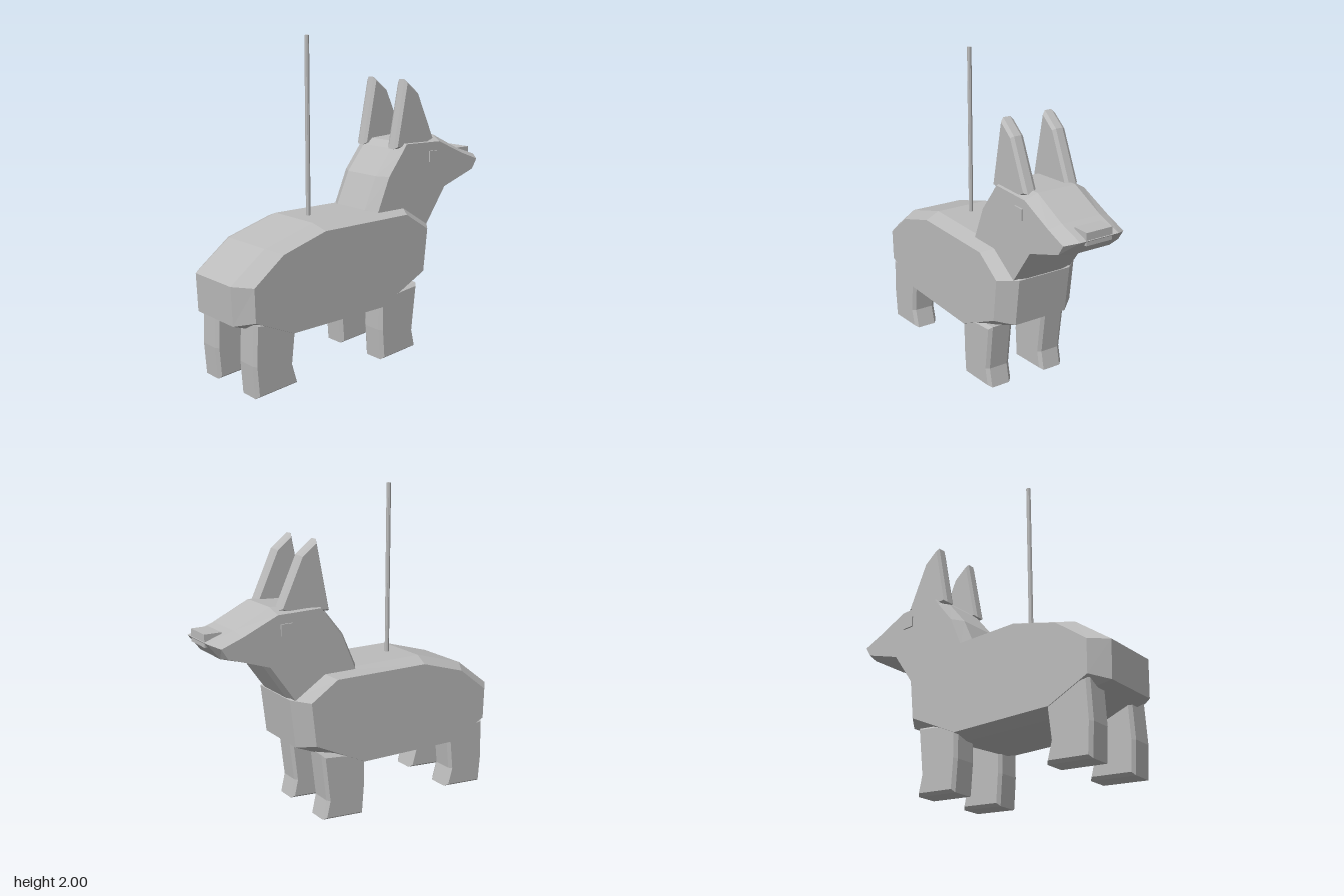
import * as THREE from 'three';

const V = (p) => new THREE.Vector2(p[0], p[1]);

// Shrinks a clockwise outline by d, keeping its edges parallel.
function inset(pts, d) {
  const n = pts.length;
  return pts.map((p, i) => {
    const a = V(p).sub(V(pts[(i + n - 1) % n])).normalize();
    const b = V(pts[(i + 1) % n]).sub(V(p)).normalize();
    const k = d / (1 + a.dot(b));
    return [p[0] + (a.y + b.y) * k, p[1] - (a.x + b.x) * k];
  });
}

// Slab with bevelled rims: outer outline in the middle, inner outline on both side faces.
function slab(outer, inner, half, bevel) {
  const n = outer.length;
  const rings = [[inner, half], [outer, half - bevel], [outer, bevel - half], [inner, -half]];
  const pos = [], index = [];
  for (const [pts, z] of rings) for (const p of pts) pos.push(p[0], p[1], z);
  for (let r = 0; r < 3; r++) {
    for (let i = 0; i < n; i++) {
      const a = r * n + i, b = r * n + (i + 1) % n;
      index.push(a, b, a + n, b, b + n, a + n);
    }
  }
  for (const [a, b, c] of THREE.ShapeUtils.triangulateShape(inner.map(V), [])) {
    const [p, q, s] = [a, b, c].map((i) => V(inner[i]));
    const ccw = q.sub(p).cross(s.sub(p)) > 0;
    const [i, j, k] = ccw ? [a, b, c] : [a, c, b];
    index.push(i, j, k, 3 * n + i, 3 * n + k, 3 * n + j);
  }
  let g = new THREE.BufferGeometry();
  g.setAttribute('position', new THREE.Float32BufferAttribute(pos, 3));
  g.setIndex(index);
  g = g.toNonIndexed();
  g.computeVertexNormals();
  return g;
}

export function createModel() {
  const model = new THREE.Group();
  const grey = new THREE.MeshStandardMaterial({ color: 0xbbbbbb, flatShading: true });
  grey.name = 'plain grey';

  const add = (name, geometry, x = 0, y = 0, z = 0) => {
    const mesh = new THREE.Mesh(geometry, grey);
    mesh.name = name;
    mesh.position.set(x, y, z);
    model.add(mesh);
  };

  // Body (outlines run clockwise from the rump)
  add('body', slab(
    [[-1, 0.66], [-0.77, 0.835], [-0.43, 0.935], [0.285, 0.935], [0.5, 0.8],
      [0.465, 0.5], [0.04, 0.32], [-0.625, 0.305], [-0.99, 0.43]],
    [[-0.91, 0.655], [-0.71, 0.81], [-0.41, 0.9], [0.23, 0.905], [0.41, 0.79],
      [0.38, 0.52], [0.035, 0.352], [-0.645, 0.34], [-0.905, 0.455]],
    0.28, 0.1));

  // Neck and head
  add('head', slab(
    [[-0.02, 0.85], [0.015, 0.94], [0.105, 1.14], [0.235, 1.3], [0.28, 1.34], [0.595, 1.358],
      [0.82, 1.25], [0.985, 1.195], [0.91, 1.1], [0.65, 1.025], [0.495, 0.8], [0.4, 0.7]],
    [[0.03, 0.85], [0.06, 0.93], [0.15, 1.14], [0.26, 1.28], [0.295, 1.328], [0.58, 1.322],
      [0.8, 1.225], [0.935, 1.175], [0.895, 1.112], [0.635, 1.025], [0.48, 0.805], [0.38, 0.72]],
    0.205, 0.075));

  // Nose and pole
  add('nose', new THREE.BoxGeometry(0.105, 0.075, 0.175), 0.928, 1.203, 0);
  add('pole', new THREE.CylinderGeometry(0.014, 0.014, 1.2, 8), -0.32, 1.4, 0);

  // Ears, eyes and legs on both sides
  const ear = [[0.22, 1.3], [0.305, 1.725], [0.415, 1.64], [0.555, 1.34], [0.46, 1.3]];
  const foreLeg = [[0.025, 0.4], [0.025, 0.2], [0.04, 0.005], [0.328, 0.03],
    [0.3, 0.15], [0.335, 0.45], [0.2, 0.435]].reverse();
  const hindLeg = [[-0.905, 0.45], [-0.915, 0.2], [-0.9, 0.005], [-0.61, 0.03],
    [-0.645, 0.15], [-0.615, 0.42]].reverse();
  const earGeo = slab(ear, inset(ear, 0.013), 0.043, 0.02);
  const foreGeo = slab(foreLeg, inset(foreLeg, 0.016), 0.083, 0.022);
  const hindGeo = slab(hindLeg, inset(hindLeg, 0.016), 0.083, 0.022);
  const eyeGeo = new THREE.BoxGeometry(0.075, 0.07, 0.03);
  for (const [side, s] of [['left', -1], ['right', 1]]) {
    add(side + 'Ear', earGeo, 0, 0, s * 0.143);
    add(side + 'Eye', eyeGeo, 0.527, 1.233, s * 0.2);
    add(side + 'ForeLeg', foreGeo, 0, 0, s * 0.194);
    add(side + 'HindLeg', hindGeo, 0, 0, s * 0.194);
  }
  return model;
}
